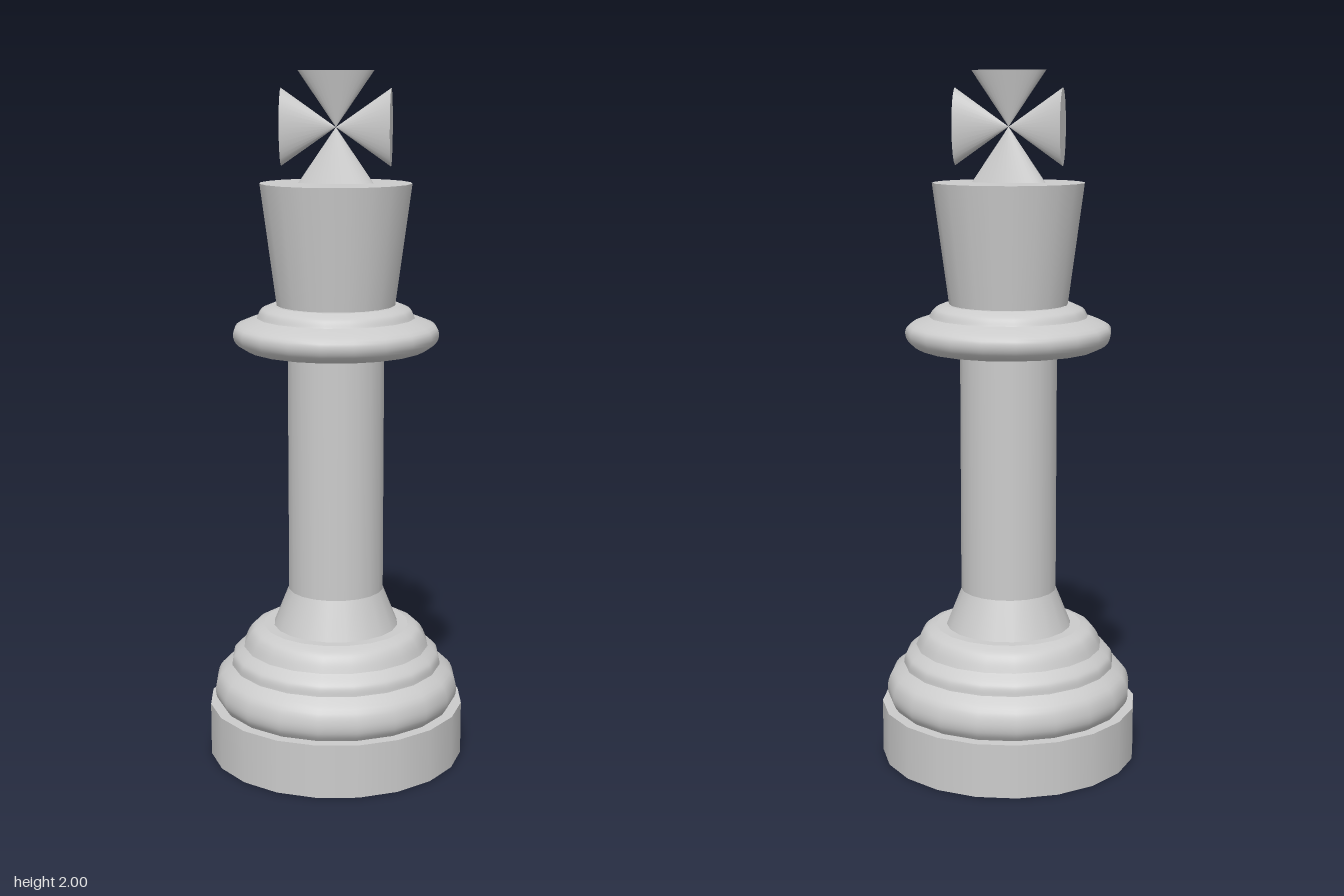
import * as THREE from 'three';

const SIDES = 20;

export function createModel() {
  const model = new THREE.Group();
  const material = new THREE.MeshStandardMaterial({ color: 0xcccccc });

  function add(name, geometry, y = 0) {
    const mesh = new THREE.Mesh(geometry, material);
    mesh.name = name;
    mesh.position.y = y;
    model.add(mesh);
    return mesh;
  }

  // Straight or tapered round section between two heights
  function section(name, bottomRadius, topRadius, y0, y1) {
    add(name, new THREE.CylinderGeometry(topRadius, bottomRadius, y1 - y0, SIDES), (y0 + y1) / 2);
  }

  // Rounded ring: a smooth turned profile of [radius, height] points, closed on the axis
  function turned(name, profile) {
    const curve = new THREE.SplineCurve(profile.map(([r, y]) => new THREE.Vector2(r, y)));
    const points = curve.getPoints(14);
    const group = new THREE.Group();
    group.name = name;
    const ends = [
      [new THREE.Vector2(0, points[0].y), points[0]],
      points,
      [points[points.length - 1], new THREE.Vector2(0, points[points.length - 1].y)],
    ];
    for (const part of ends) {
      group.add(new THREE.Mesh(new THREE.LatheGeometry(part, SIDES), material));
    }
    model.add(group);
  }

  // Foot and stacked rounded tiers
  section('base', 0.377, 0.377, 0, 0.157);
  turned('lowerTier', [[0.345, 0.157], [0.359, 0.18], [0.361, 0.21], [0.348, 0.245], [0.312, 0.275]]);
  turned('middleTier', [[0.312, 0.275], [0.305, 0.303], [0.275, 0.33]]);
  turned('upperTier', [[0.275, 0.33], [0.262, 0.36], [0.245, 0.38], [0.215, 0.392]]);

  // Stem
  section('stemFlare', 0.185, 0.14, 0.39, 0.502);
  section('stem', 0.14, 0.14, 0.5, 1.23);

  // Collar
  turned('collar', [[0.255, 1.218], [0.285, 1.235], [0.297, 1.262], [0.285, 1.288], [0.228, 1.31]]);
  turned('collarCap', [[0.228, 1.31], [0.215, 1.332], [0.185, 1.346]]);

  // Flared crown
  section('crown', 0.17, 0.217, 1.34, 1.69);

  // Cross of four flattened cones whose tips meet in the middle
  const cross = new THREE.Group();
  cross.name = 'cross';
  cross.position.y = 1.845;
  const arm = new THREE.ConeGeometry(1, 0.156, 32);
  arm.translate(0, -0.078, 0);
  arm.scale(0.108, 1, 0.039);
  ['lowerArm', 'leftArm', 'upperArm', 'rightArm'].forEach((name, i) => {
    const mesh = new THREE.Mesh(arm, material);
    mesh.name = name;
    mesh.rotation.z = (i * Math.PI) / 2;
    cross.add(mesh);
  });
  model.add(cross);

  return model;
}
